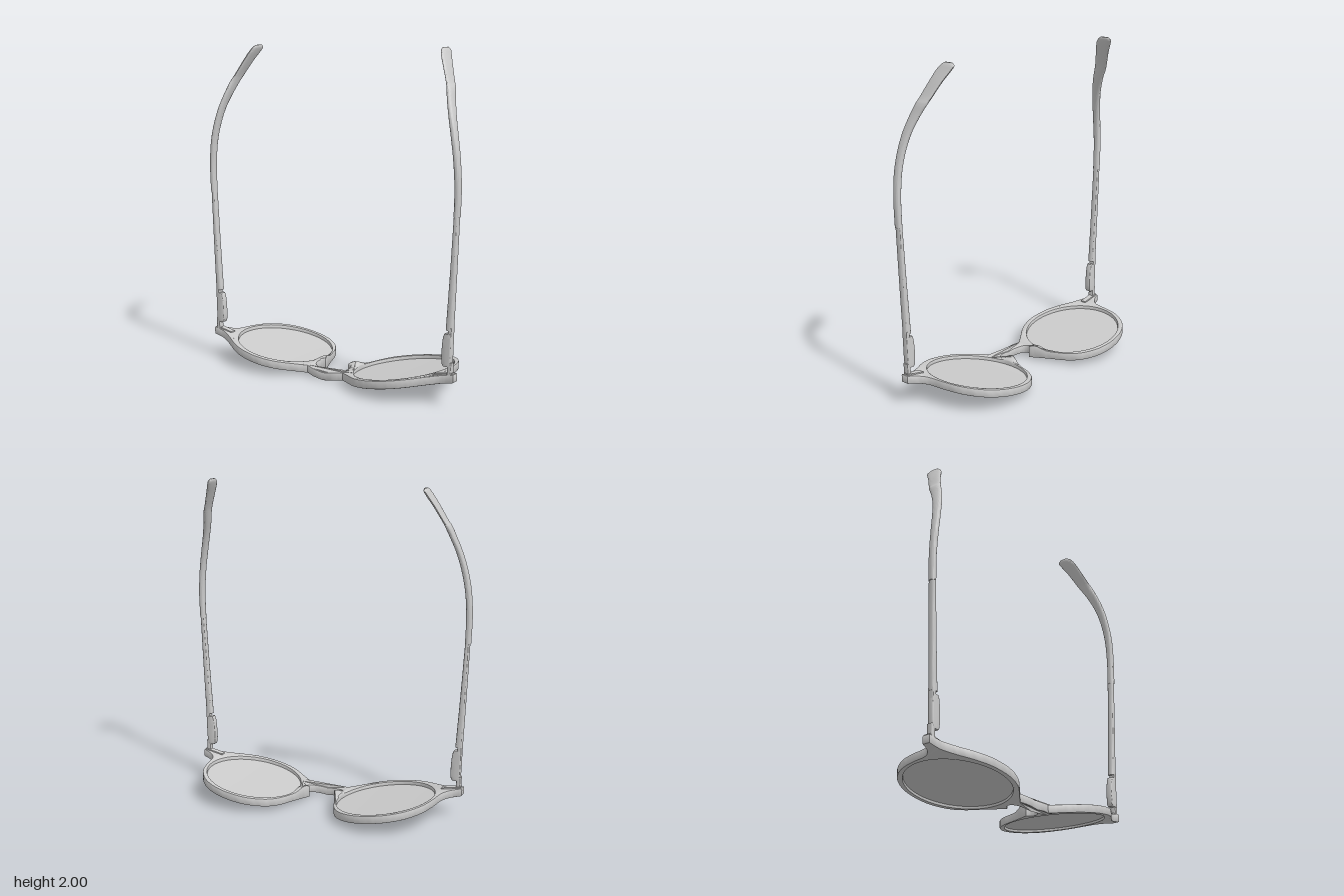
import * as THREE from 'three';
import { toCreasedNormals } from 'three/addons/utils/BufferGeometryUtils.js';

const material = new THREE.MeshStandardMaterial({ color: 0xcccccc, side: THREE.DoubleSide });
const LENS = { x: 0.447, z: -0.005, r: 0.298 };

// Height of the front's outer face: a wrap that rises towards the temples
const wrap = (x) => 0.005 + 0.125 * Math.abs(x) + 0.04 * x * x;

// Moves every vertex up by a rule rise(x, y, z)
function lift(geo, rise) {
  const p = geo.attributes.position;
  for (let i = 0; i < p.count; i++) {
    p.setY(i, p.getY(i) + rise(p.getX(i), p.getY(i), p.getZ(i)));
  }
  return geo;
}

// Mirror image in x of a non-indexed geometry, with corner order restored
function mirrored(source) {
  const geo = source.clone().scale(-1, 1, 1);
  for (const { array } of Object.values(geo.attributes)) {
    const size = array.length / geo.attributes.position.count;
    for (let i = 0; i < array.length; i += size * 3) {
      for (let k = 0; k < size; k++) {
        const a = i + size + k, b = a + size;
        [array[a], array[b]] = [array[b], array[a]];
      }
    }
  }
  return geo;
}

// Solid through horizontal sections [x, y, z, half width in x, half width in z]
function loft(sections, steps, roundness, crease = 0.7) {
  const centre = new THREE.CatmullRomCurve3(sections.map((s) => new THREE.Vector3(s[0], s[1], s[2])));
  const size = new THREE.CatmullRomCurve3(sections.map((s) => new THREE.Vector3(s[3], s[4], s[1])));
  const n = 24, pos = [], index = [];
  for (let j = 0; j <= steps; j++) {
    const c = centre.getPoint(j / steps), h = size.getPoint(j / steps);
    for (let i = 0; i < n; i++) {
      const a = (i / n) * Math.PI * 2, u = Math.cos(a), v = Math.sin(a);
      pos.push(c.x + h.x * Math.sign(u) * Math.abs(u) ** roundness, c.y,
        c.z + h.y * Math.sign(v) * Math.abs(v) ** roundness);
      if (j < steps) {
        const p = j * n + i, q = j * n + ((i + 1) % n);
        index.push(p, p + n, q, q, p + n, q + n);
      }
    }
  }
  const last = steps * n;
  for (let i = 1; i < n - 1; i++) index.push(0, i, i + 1, last, last + i + 1, last + i);
  const geo = new THREE.BufferGeometry();
  geo.setAttribute('position', new THREE.Float32BufferAttribute(pos, 3));
  geo.setIndex(index);
  return toCreasedNormals(geo, crease);
}

// One-piece front: both rims, bridge, end pieces and nose pads
function frontGeometry() {
  const runs = [
    // bridge, front edge
    [[0, 0.2], [0.07, 0.196], [0.13, 0.178]],
    // rim, front edge to the end piece
    [[0.13, 0.178], [0.2, 0.227], [0.28, 0.282], [0.36, 0.314], [0.447, 0.325], [0.55, 0.312], [0.64, 0.274],
      [0.72, 0.225], [0.79, 0.188], [0.83, 0.178], [0.885, 0.175]],
    // end piece and rim, round to the nose pad
    [[0.885, 0.128], [0.83, 0.108], [0.79, 0.07], [0.775, 0.02], [0.765, -0.05], [0.732, -0.16], [0.66, -0.257],
      [0.56, -0.313], [0.447, -0.33], [0.335, -0.313], [0.238, -0.257], [0.18, -0.18], [0.14, -0.08], [0.087, 0.045]],
    // nose notch and bridge, rear edge
    [[0.085, 0.053], [0.108, 0.065], [0.12, 0.09], [0.11, 0.115], [0.085, 0.132], [0.04, 0.145], [0, 0.148]],
  ];
  const half = [];
  for (const run of runs) {
    const curve = new THREE.SplineCurve(run.map(([x, z]) => new THREE.Vector2(x, -z)));
    for (const p of curve.getPoints((run.length - 1) * 5)) {
      if (!half.length || p.distanceTo(half[half.length - 1]) > 1e-4) half.push(p);
    }
  }
  const other = half.slice(1, -1).reverse().map((p) => new THREE.Vector2(-p.x, p.y));
  const shape = new THREE.Shape([...half, ...other]);
  for (const s of [1, -1]) {
    const hole = new THREE.Path();
    hole.absarc(s * LENS.x, -LENS.z, LENS.r, 0, Math.PI * 2, true);
    shape.holes.push(hole);
  }
  const bevel = 0.006;
  const geo = new THREE.ExtrudeGeometry(shape, {
    depth: 0.05 - 2 * bevel, curveSegments: 72, bevelThickness: bevel, bevelSize: bevel,
    bevelOffset: -bevel, bevelSegments: 2,
  });
  geo.rotateX(-Math.PI / 2).translate(0, bevel, 0);
  lift(geo, (x, y, z) => {
    // the inner flank swells upwards into a nose pad
    const near = THREE.MathUtils.smoothstep(0.17 - Math.abs(x), 0, 0.06);
    const pad = y > 0.025 ? 0.032 * near * Math.exp(-(((z - 0.02) / 0.055) ** 2)) : 0;
    return wrap(x) + pad;
  });
  geo.deleteAttribute('uv');
  return toCreasedNormals(geo, 0.6);
}

// Thin lens that follows the wrap of the front
function lensGeometry() {
  const r = LENS.r + 0.004, profile = [];
  for (let i = 0; i <= 4; i++) profile.push(new THREE.Vector2((r * i) / 4, 0.016));
  for (let i = 4; i >= 0; i--) profile.push(new THREE.Vector2((r * i) / 4, 0.028));
  const geo = new THREE.LatheGeometry(profile, 64).translate(LENS.x, 0, LENS.z);
  geo.deleteAttribute('uv');
  return toCreasedNormals(lift(geo, (x) => wrap(x)), 0.6);
}

// Small plate under the hinge, lying on the end piece
function plateGeometry() {
  const geo = new THREE.BoxGeometry(0.12, 0.012, 0.036, 4, 1, 1).translate(0.815, 0.052, 0.15);
  geo.deleteAttribute('uv');
  return toCreasedNormals(lift(geo, (x) => wrap(x)), 0.6);
}

export function createModel() {
  const model = new THREE.Group();
  const add = (name, geo) => {
    const mesh = new THREE.Mesh(geo, material);
    mesh.name = name;
    model.add(mesh);
  };
  add('frontFrame', frontGeometry());

  const pairs = {
    Lens: lensGeometry(),
    HingePlate: plateGeometry(),
    HingePin: loft([[0.855, 0.17, 0.157, 0.013, 0.018], [0.858, 0.26, 0.157, 0.013, 0.018]], 2, 0.3),
    HingeBlock: loft([[0.838, 0.235, 0.157, 0.02, 0.019], [0.836, 0.25, 0.157, 0.027, 0.02],
      [0.842, 0.4, 0.157, 0.027, 0.02], [0.846, 0.425, 0.157, 0.021, 0.02]], 12, 0.3),
    HingeNeck: loft([[0.857, 0.4, 0.157, 0.012, 0.019], [0.859, 0.46, 0.157, 0.012, 0.019]], 2, 0.3),
    // slim straight shaft
    TempleShaft: loft([[0.851, 0.445, 0.157, 0.021, 0.02], [0.868, 0.76, 0.157, 0.017, 0.02],
      [0.884, 1.1, 0.157, 0.013, 0.02]], 8, 0.6),
    // curved sleeve ending in a flat ear tip
    TempleTip: loft([
      [0.885, 1.085, 0.158, 0.017, 0.022], [0.888, 1.25, 0.158, 0.018, 0.022], [0.877, 1.4, 0.156, 0.018, 0.024],
      [0.855, 1.52, 0.145, 0.018, 0.026], [0.829, 1.62, 0.125, 0.017, 0.03], [0.797, 1.72, 0.088, 0.016, 0.037],
      [0.778, 1.78, 0.058, 0.015, 0.042], [0.764, 1.81, 0.043, 0.011, 0.044], [0.722, 1.9, 0.002, 0.012, 0.048],
      [0.692, 1.96, -0.03, 0.012, 0.053], [0.681, 1.985, -0.046, 0.011, 0.049], [0.676, 2.0, -0.05, 0.006, 0.028],
    ], 66, 0.8),
  };
  for (const [name, geo] of Object.entries(pairs)) {
    add('left' + name, geo);
    add('right' + name, mirrored(geo));
  }
  return model;
}
